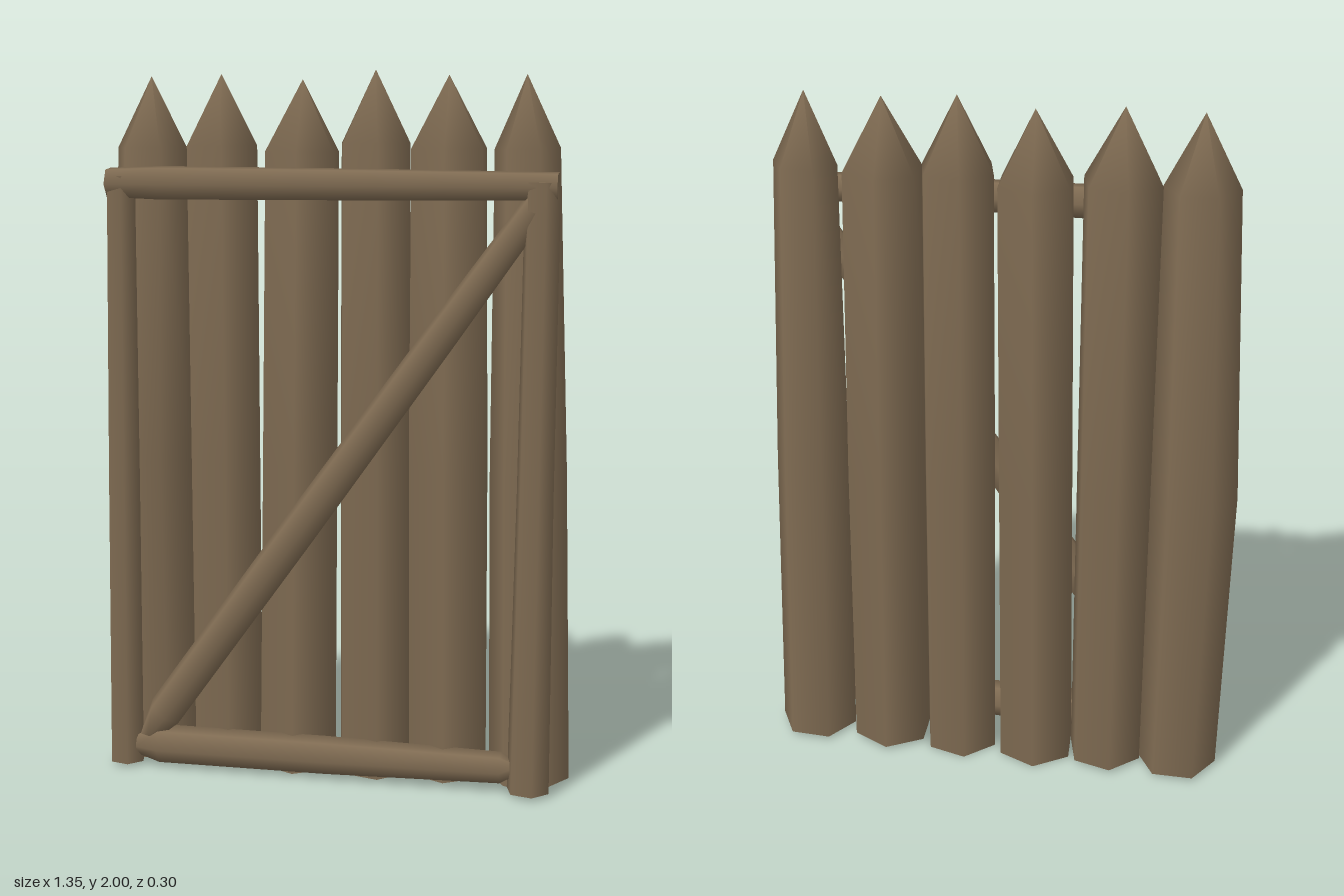
import * as THREE from 'three';

const wood = new THREE.MeshStandardMaterial({ color: 0x7f6b52 });
wood.name = 'weathered wood';

// Rough six-sided timber from a to b; rings are [fraction of length, radius, offset x, offset z].
// Repeating the first and last ring keeps the cut ends crisp.
function timber(name, a, b, rings, spin) {
  const start = new THREE.Vector3(...a);
  const axis = new THREE.Vector3(...b).sub(start);
  const length = axis.length();
  const profile = [new THREE.Vector2(0, 0)];
  rings.forEach(([t, r], i) => {
    const p = new THREE.Vector2(r, t * length);
    profile.push(p);
    if (i === 0 || (i === rings.length - 1 && r > 0)) profile.push(p.clone());
  });
  const last = rings[rings.length - 1];
  if (last[1] > 0) profile.push(new THREE.Vector2(0, last[0] * length));
  const geo = new THREE.LatheGeometry(profile, 6, spin);

  // Bend the timber by sliding its rings sideways
  const pos = geo.attributes.position;
  for (let i = 0; i < pos.count; i++) {
    const t = pos.getY(i) / length;
    const ring = rings.reduce((m, r) => (Math.abs(r[0] - t) < Math.abs(m[0] - t) ? r : m));
    pos.setX(i, pos.getX(i) + (ring[2] || 0));
    pos.setZ(i, pos.getZ(i) + (ring[3] || 0));
  }
  const mesh = new THREE.Mesh(geo, wood);
  mesh.name = name;
  mesh.position.copy(start);
  mesh.quaternion.setFromUnitVectors(new THREE.Vector3(0, 1, 0), axis.normalize());
  return mesh;
}

export function createModel() {
  const gate = new THREE.Group();
  gate.name = 'palisadeGate';

  // Sharpened stakes: base x, tip x, tip y, tip z, base/middle/shoulder radius, bend, spin
  const stakes = [
    [-0.545, -0.54, 1.985, -0.03, 0.117, 0.122, 0.102, -0.015, 0.52],
    [-0.33, -0.335, 1.99, -0.03, 0.112, 0.112, 0.112, 0, 0.25],
    [-0.12, -0.103, 1.975, -0.04, 0.118, 0.114, 0.11, 0, 0.08],
    [0.11, 0.105, 2, -0.035, 0.113, 0.112, 0.107, 0, 0.25],
    [0.325, 0.31, 1.985, -0.03, 0.12, 0.12, 0.112, 0, 0.04],
    [0.56, 0.525, 1.985, -0.012, 0.115, 0.108, 0.09, 0, 0.5],
  ];
  stakes.forEach(([x0, x1, y1, z1, r0, r1, r2, bend, spin], i) => {
    const y0 = i === 2 || i === 3 ? 0 : 0.01;
    gate.add(timber(`stake${i + 1}`, [x0, y0, -0.032], [x1, y1, z1],
      [[0, r0], [0.45, r1, bend], [0.9, r2], [1, 0]], spin));
  });

  // Front frame
  gate.add(timber('leftPost', [-0.607, 0.01, 0.09], [-0.595, 1.71, 0.088],
    [[0, 0.053], [0.5, 0.05], [1, 0.044]], 0.3));
  gate.add(timber('rightPost', [0.572, 0.01, 0.09], [0.583, 1.7, 0.085],
    [[0, 0.062], [0.5, 0.053], [1, 0.05]], 0.3));
  gate.add(timber('topBeam', [-0.63, 1.692, 0.092], [0.625, 1.69, 0.086],
    [[0, 0.044], [0.12, 0.05], [0.6, 0.046], [1, 0.04]], 0.1));
  gate.add(timber('bottomBeam', [-0.57, 0.065, 0.092], [0.55, 0.07, 0.086],
    [[0, 0.035], [0.06, 0.055], [0.5, 0.054], [0.95, 0.044], [1, 0.012]], 0.1));
  gate.add(timber('diagonalBrace', [-0.545, 0.085, 0.095], [0.605, 1.69, 0.088],
    [[0, 0.025], [0.05, 0.053], [0.4, 0.053], [0.75, 0.047], [0.97, 0.04], [1, 0.022]], 0.3));

  return gate;
}
